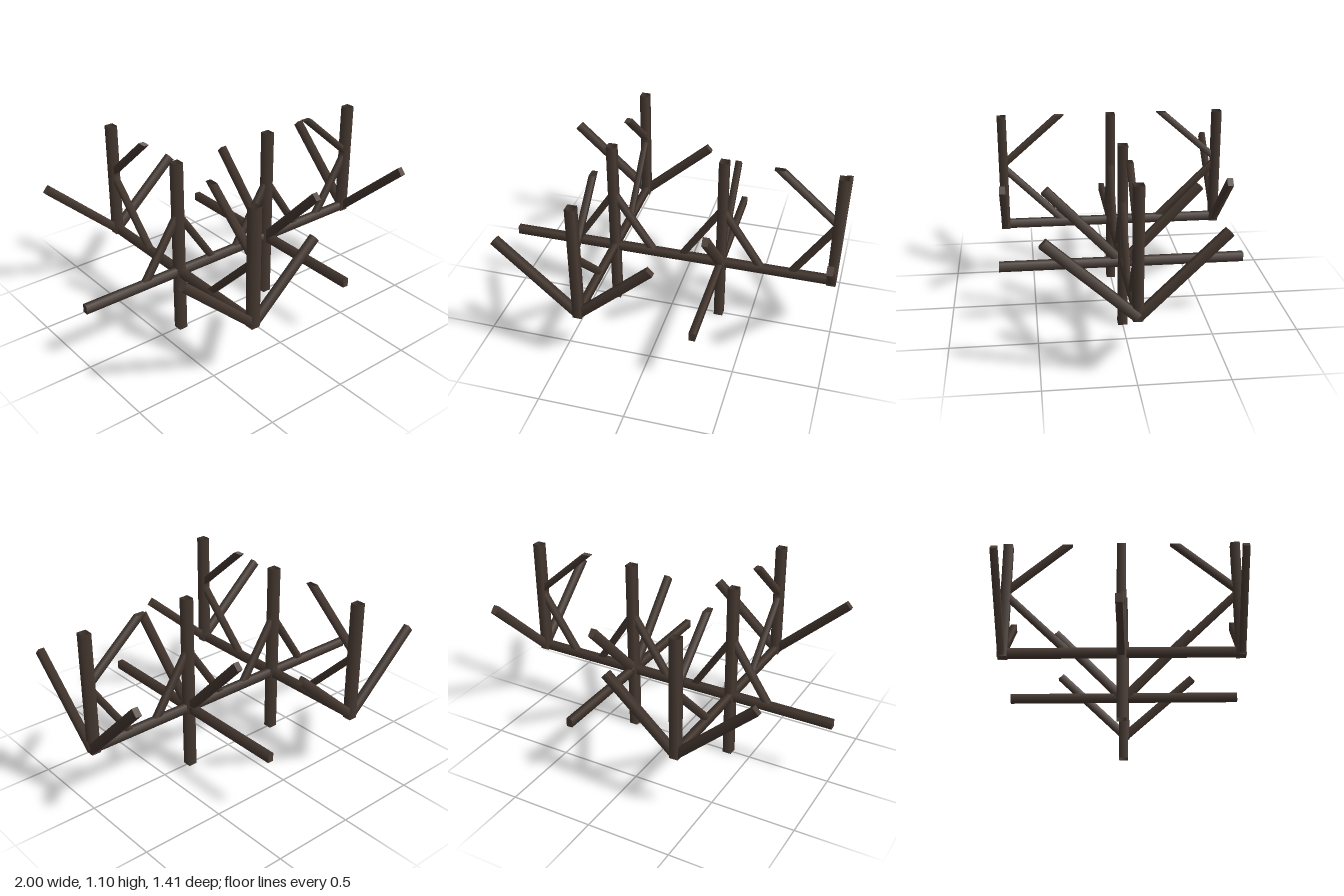
import * as THREE from 'three';

const wood = new THREE.MeshStandardMaterial({ color: 0x4a3c34, side: THREE.DoubleSide });
wood.name = 'dark timber';

const TOP = 1.097, BASE = 0.37, DECK = 0.397;
const X1 = -0.36, X2 = 0.305, X3 = 0.971, ZEND = 0.666;
const V = (x, y, z) => new THREE.Vector3(x, y, z);
const AX = V(1, 0, 0), AZ = V(0, 0, 1);

export function createModel() {
  const group = new THREE.Group();

  // Four-sided timber from a to b; w is its width along "side", h the other thickness.
  // cutY slices the far end level at that height.
  function timber(name, a, b, side, w, h, { open = false, cutY = null } = {}) {
    const dir = b.clone().sub(a);
    const length = dir.length();
    dir.normalize();
    const g = new THREE.CylinderGeometry(Math.SQRT1_2, Math.SQRT1_2, 1, 4, 1, open);
    g.rotateY(Math.PI / 4);
    g.scale(h, length, w);
    const top = g.attributes.position.array.map((v, i) => (i % 3 === 1 ? v : 0));
    g.applyMatrix4(new THREE.Matrix4().makeBasis(dir.clone().cross(side), dir, side));
    const mid = a.clone().add(b).multiplyScalar(0.5);
    g.translate(mid.x, mid.y, mid.z);
    if (cutY !== null) {
      const p = g.attributes.position, v = new THREE.Vector3();
      for (let i = 0; i < p.count; i++) {
        if (top[i * 3 + 1] <= 0) continue;
        v.fromBufferAttribute(p, i);
        v.addScaledVector(dir, (cutY - v.y) / dir.y);
        p.setXYZ(i, v.x, v.y, v.z);
      }
    }
    const mesh = new THREE.Mesh(g, wood);
    mesh.name = name;
    group.add(mesh);
  }

  const post = (name, x, y, z) =>
    timber(name, V(x, y, z), V(x, TOP, z), AZ, 0.054, 0.054, { open: true });
  const beam = (name, a, b, side) => timber(name, a, b, side, 0.036, 0.051);
  const brace = (name, a, b, side, cutY = null) =>
    timber(name, a, b, side, 0.033, 0.038, { cutY });

  // Posts standing on the ground, and shorter posts at the beam ends
  post('groundPost', X1, 0, 0);
  post('groundPost', X2, 0, 0);
  post('endPost', X3, BASE, 0);
  for (const s of [-1, 1]) post('sidePost', X1, BASE, s * ZEND);

  // Level beams
  beam('mainBeam', V(-1, DECK, 0), V(0.98, DECK, 0), AZ);
  beam('crossBeam', V(X1, DECK, -0.68), V(X1, DECK, 0.68), AX);
  beam('crossBeam', V(X2, DECK, -0.705), V(X2, DECK, 0.705), AX);

  // Slanted arms spreading like a V from the side posts
  for (const s of [-1, 1]) {
    const z = s * 0.672;
    beam('slantedArm', V(X1, 0.39, z), V(-0.82, 0.81, z), AZ);
    beam('slantedArm', V(X1, 0.39, z), V(0.065, 0.77, z), AZ);
  }

  // Slanted arms spreading across from the right-hand posts
  for (const [x, z, y] of [[X2, 0.435, 0.845], [X2, -0.435, 0.845], [0.982, 0.472, 0.815], [0.982, -0.455, 0.838]])
    beam('slantedArm', V(x, 0.39, 0), V(x, y, z), AX);

  // Braces between the main beam and the posts
  for (const [x, s] of [[X1, -1], [X1, 1], [X2, -1], [X2, 1], [X3, -1]])
    brace('beamBrace', V(x + s * 0.243, 0.405, 0), V(x, 0.775, 0), AZ);

  // Braces between the cross beam and the side posts, below and above
  for (const s of [-1, 1]) {
    brace('sideBrace', V(X1, 0.405, s * 0.3), V(X1, 0.77, s * ZEND), AX);
    brace('upperBrace', V(X1, 0.79, s * ZEND), V(X1, TOP, s * 0.315), AX, TOP);
  }
  brace('upperBrace', V(X3, 0.79, 0), V(0.618, TOP, 0), AZ, TOP);

  return group;
}
